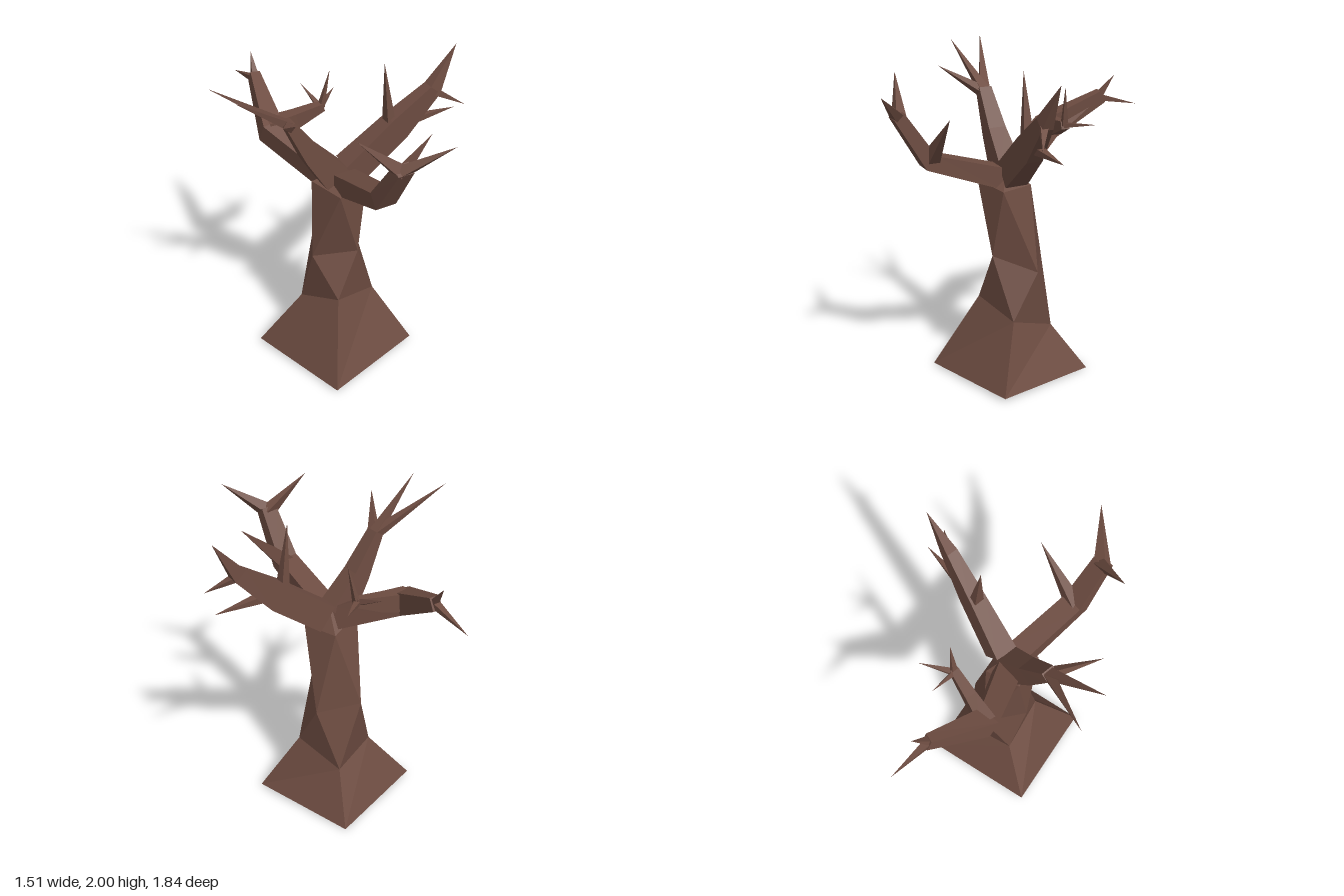
import * as THREE from 'three';

export function createModel() {
  const tree = new THREE.Group();
  tree.name = 'bareTree';
  const bark = new THREE.MeshStandardMaterial({ color: 0x6d4c41 });
  bark.name = 'bark';
  const X = new THREE.Vector3(1, 0, 0), Z = new THREE.Vector3(0, 0, 1);
  const point = ([x, y, z]) => new THREE.Vector3(x, y, z);

  // Unshared corners give every face its own flat normal
  function addMesh(name, corners, parent) {
    const geo = new THREE.BufferGeometry().setFromPoints(corners);
    geo.computeVertexNormals();
    const mesh = new THREE.Mesh(geo, bark);
    mesh.name = name;
    parent.add(mesh);
  }

  // Four-sided limb through nodes [x, y, z, halfWidth, halfDepth]; zero width makes a point
  function limb(name, nodes, side, parent) {
    const pts = nodes.map(point);
    const dirs = pts.slice(1).map((p, i) => p.clone().sub(pts[i]).normalize());
    const rings = nodes.map((n, i) => {
      const t = (dirs[i - 1] || dirs[i]).clone().add(dirs[i] || dirs[i - 1]).normalize();
      const s = side.clone().addScaledVector(t, -side.dot(t)).normalize();
      const u = t.clone().cross(s);
      return [[1, 1], [-1, 1], [-1, -1], [1, -1]].map(([a, b]) =>
        pts[i].clone().addScaledVector(s, a * n[3]).addScaledVector(u, b * n[4]));
    });
    const corners = [];
    for (let k = 0; k < rings.length - 1; k++) {
      const A = rings[k], B = rings[k + 1];
      for (let i = 0; i < 4; i++) {
        const j = (i + 1) % 4;
        corners.push(A[i], A[j], B[j]);
        if (nodes[k + 1][3] > 0) corners.push(A[i], B[j], B[i]);
      }
    }
    const [a, b, c, d] = rings[rings.length - 1];
    if (nodes[nodes.length - 1][3] > 0) corners.push(a, b, c, a, c, d);
    addMesh(name, corners, parent);
  }

  // Branch: one limb plus twigs [place along the limb in nodes, tip x, y, z]
  function branch(name, side, nodes, twigs) {
    const group = new THREE.Group();
    group.name = name + 'Branch';
    limb(name + 'Limb', nodes, side, group);
    twigs.forEach(([at, ...tip], i) => {
      const k = Math.floor(at);
      const [x, y, z, w] = nodes[k].map((v, n) => THREE.MathUtils.lerp(v, nodes[k + 1][n], at - k));
      limb(`${name}Twig${i + 1}`, [[x, y, z, w * 0.75, w * 0.6], [...tip, 0, 0]], side, group);
    });
    tree.add(group);
  }

  // Trunk ring: a square turned about its centre, with uneven corner heights
  function ring(cx, cz, radius, turn, heights) {
    return heights.map((y, i) => {
      const angle = THREE.MathUtils.degToRad(turn - 90 * i);
      return new THREE.Vector3(cx + radius * Math.cos(angle), y, cz + radius * Math.sin(angle));
    });
  }

  // Trunk: flared foot, then rings that each turn by about an eighth
  const foot = ring(-0.045, 0.055, 0.487, 118, [0.01, 0.02, 0, 0.02]);
  const knee = ring(-0.02, 0.03, 0.225, 117, [0.49, 0.41, 0.3, 0.36]);
  const waist = ring(-0.025, 0.015, 0.195, 74, [0.8, 0.7, 0.75, 0.76]);
  const neck = ring(-0.04, 0.09, 0.16, 26, [1.22, 1.22, 1.27, 1.25]);
  const crotch = new THREE.Vector3(-0.02, 1.34, 0.08);
  const trunk = [foot[0], foot[2], foot[1], foot[0], foot[3], foot[2]];
  for (let i = 0; i < 4; i++) {
    const j = (i + 1) % 4;
    trunk.push(foot[i], foot[j], knee[j], foot[i], knee[j], knee[i]);
    for (const [low, high] of [[knee, waist], [waist, neck]]) {
      trunk.push(low[i], low[j], high[i], low[j], high[j], high[i]);
    }
    trunk.push(neck[i], neck[j], crotch);
  }
  addMesh('trunk', trunk, tree);

  branch('front', X,
    [[-0.03, 1.28, 0.12, 0.07, 0.065], [-0.035, 1.43, 0.575, 0.065, 0.05], [-0.03, 1.72, 0.76, 0.05, 0.035]],
    [[1.93, -0.27, 1.92, 0.68], [1.95, 0.19, 1.88, 0.92], [0.97, 0.28, 1.74, 0.56]]);

  branch('left', Z,
    [[0.04, 1.31, 0.07, 0.07, 0.085], [0.34, 1.54, 0.1, 0.05, 0.085], [0.57, 1.74, 0.125, 0.035, 0.045], [0.73, 1.98, 0.11, 0, 0]],
    [[1.95, 0.74, 1.63, 0.22], [1.08, 0.75, 1.55, 0.1], [0.87, 0.25, 1.97, 0.1]]);

  branch('right', Z,
    [[-0.06, 1.3, 0.07, 0.07, 0.09], [-0.22, 1.51, 0.075, 0.055, 0.06], [-0.36, 1.745, 0.08, 0.04, 0.03]],
    [[1.93, -0.76, 2, -0.07], [1.95, -0.7, 2, 0.155], [1.9, -0.51, 1.88, 0.32]]);

  branch('back', X,
    [[-0.07, 1.29, 0.03, 0.075, 0.07], [-0.28, 1.48, -0.31, 0.065, 0.07], [-0.21, 1.66, -0.66, 0.03, 0.04]],
    [[1.92, -0.19, 1.79, -0.74], [1.95, -0.22, 1.58, -0.92]]);

  // Offshoot from the elbow of the back branch
  branch('backSide', Z,
    [[-0.29, 1.49, -0.31, 0.05, 0.06], [-0.12, 1.52, -0.29, 0.035, 0.05], [0.05, 1.57, -0.27, 0.025, 0.025]],
    [[1.95, 0.09, 1.81, -0.25], [1.9, 0, 1.65, -0.46], [1.9, 0.2, 1.59, -0.4]]);

  return tree;
}
